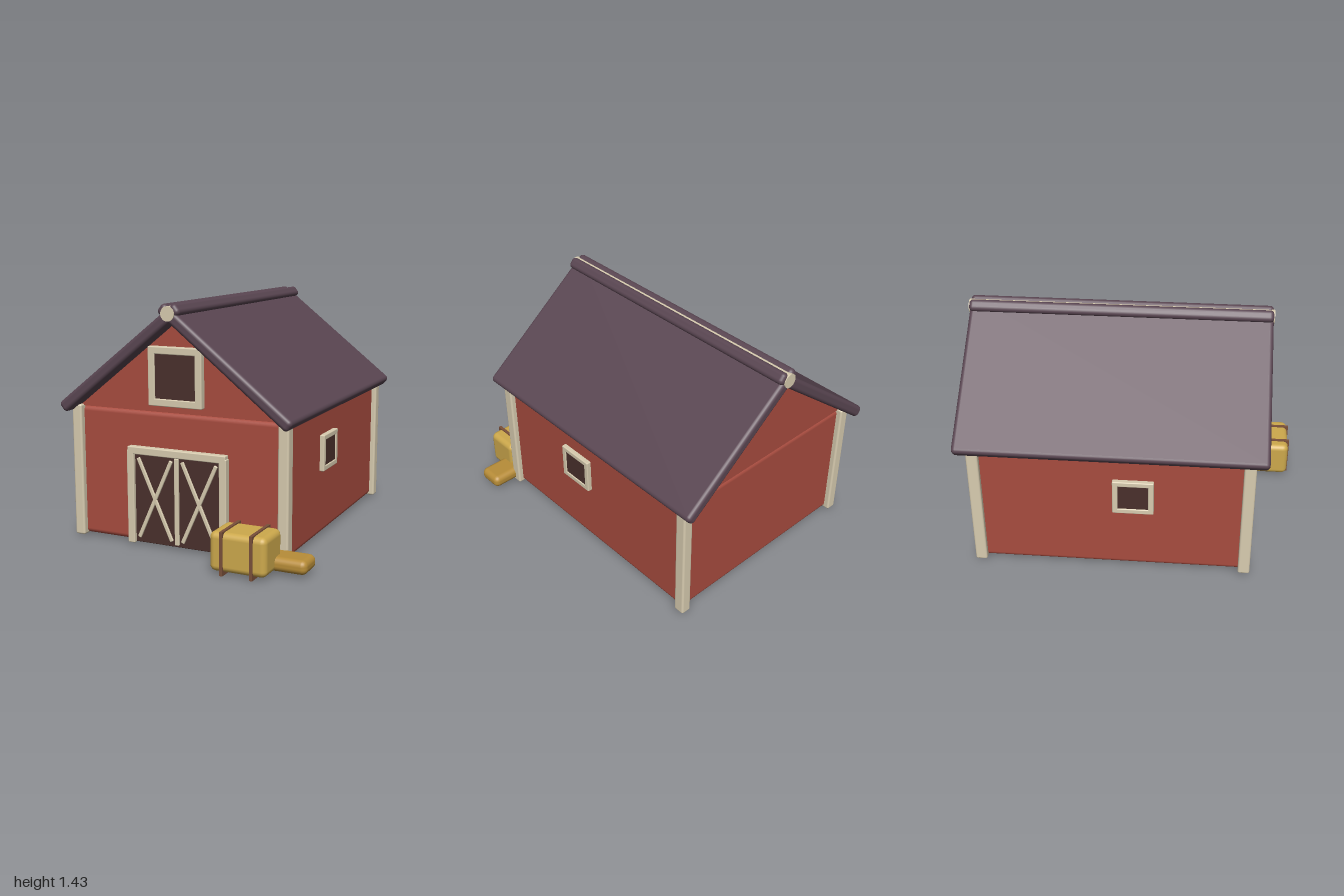
import * as THREE from 'three';
import { RoundedBoxGeometry } from 'three/addons/geometries/RoundedBoxGeometry.js';

const mat = (color) => new THREE.MeshStandardMaterial({ color });
const RED = mat(0xa84c3f), CREAM = mat(0xd8ccb0), ROOF = mat(0x5a4652), DARK = mat(0x4a302c);
const HAY = mat(0xcda94c), HAY_DARK = mat(0xb88d38), STRAP = mat(0x7a503a);

function add(parent, name, geometry, material, x = 0, y = 0, z = 0) {
  const mesh = new THREE.Mesh(geometry, material);
  mesh.name = name;
  mesh.position.set(x, y, z);
  parent.add(mesh);
  return mesh;
}

// Rounded box (r = 0 gives sharp edges)
function box(parent, name, material, size, pos, r = 0.01) {
  const geometry = r > 0 ? new RoundedBoxGeometry(...size, 3, r) : new THREE.BoxGeometry(...size);
  return add(parent, name, geometry, material, ...pos);
}

// Window facing +z: four frame bars around a dark pane
function makeWindow(name, w, h, bar, depth) {
  const g = new THREE.Group();
  g.name = name;
  for (const s of [-1, 1]) {
    box(g, 'frameSide', CREAM, [bar, h, depth], [s * (w - bar) / 2, 0, 0], 0.006);
    box(g, 'frameRail', CREAM, [w, bar, depth], [0, s * (h - bar) / 2, 0], 0.006);
  }
  box(g, 'pane', DARK, [w - bar * 1.8, h - bar * 1.8, depth * 0.7], [0, 0, 0], 0.005);
  return g;
}

export function createModel() {
  const model = new THREE.Group();
  model.name = 'barnWithHay';

  // Barn, built around its own centre line
  const barn = new THREE.Group();
  barn.name = 'barn';
  barn.position.set(-0.06, 0, -0.095);
  model.add(barn);
  const W = 0.66, D = 0.79;

  box(barn, 'walls', RED, [W * 2, 0.785, D * 2], [0, 0.408, 0], 0.03);

  // Gable block under the roof
  const tri = new THREE.Shape([[-0.655, 0.8], [0.655, 0.8], [0, 1.33]].map((p) => new THREE.Vector2(...p)));
  const gable = new THREE.ExtrudeGeometry(tri, { depth: D * 2, bevelEnabled: false });
  add(barn, 'gable', gable, RED, 0, 0, -D);

  // Corner posts
  for (const sx of [-1, 1]) for (const sz of [-1, 1]) {
    box(barn, 'cornerPost', CREAM, [0.065, 0.8, 0.07], [sx * W, 0.41, sz * D], 0.012);
  }

  // Roof slabs crossing at the ridge
  for (const s of [-1, 1]) {
    const slab = box(barn, 'roofSlab', ROOF, [0.99, 0.07, 1.79], [s * 0.332, 1.1, 0], 0.024);
    slab.rotation.z = -s * 0.67;
  }
  const ridge = add(barn, 'ridgeBeam', new THREE.CylinderGeometry(0.042, 0.042, 1.8, 32), CREAM, 0, 1.372, 0);
  ridge.rotation.x = Math.PI / 2;

  // Loft window and side windows
  const loft = makeWindow('loftWindow', 0.34, 0.34, 0.043, 0.05);
  loft.position.set(0, 1.01, D + 0.012);
  barn.add(loft);
  for (const s of [-1, 1]) {
    const side = makeWindow('sideWindow', 0.24, 0.22, 0.032, 0.04);
    side.position.set(s * (W + 0.008), 0.52, 0.13);
    side.rotation.y = s * Math.PI / 2;
    barn.add(side);
  }

  // Double door with frame and crossed braces
  const door = new THREE.Group();
  door.name = 'door';
  door.position.z = D;
  barn.add(door);
  box(door, 'doorPanel', DARK, [0.56, 0.54, 0.03], [0, 0.285, 0.003], 0.004);
  box(door, 'doorLintel', CREAM, [0.63, 0.045, 0.05], [0, 0.568, 0.014], 0.006);
  box(door, 'doorMullion', CREAM, [0.028, 0.515, 0.025], [0, 0.285, 0.018], 0.005);
  for (const s of [-1, 1]) {
    box(door, 'doorPost', CREAM, [0.046, 0.56, 0.05], [s * 0.297, 0.29, 0.014], 0.006);
    for (const t of [-1, 1]) {
      const brace = box(door, 'doorBrace', CREAM, [0.023, 0.525, 0.02], [s * 0.143, 0.285, 0.018], 0.005);
      brace.rotation.z = t * 0.425;
    }
  }

  // Hay bales
  const hay = new THREE.Group();
  hay.name = 'hay';
  model.add(hay);
  box(hay, 'largeBale', HAY, [0.335, 0.222, 0.23], [0.445, 0.127, 0.877], 0.035);
  for (const x of [0.355, 0.53]) {
    box(hay, 'baleStrap', STRAP, [0.019, 0.245, 0.242], [x, 0.1225, 0.878], 0);
  }
  box(hay, 'smallBale', HAY_DARK, [0.24, 0.082, 0.17], [0.672, 0.059, 0.785], 0.035);

  return model;
}
